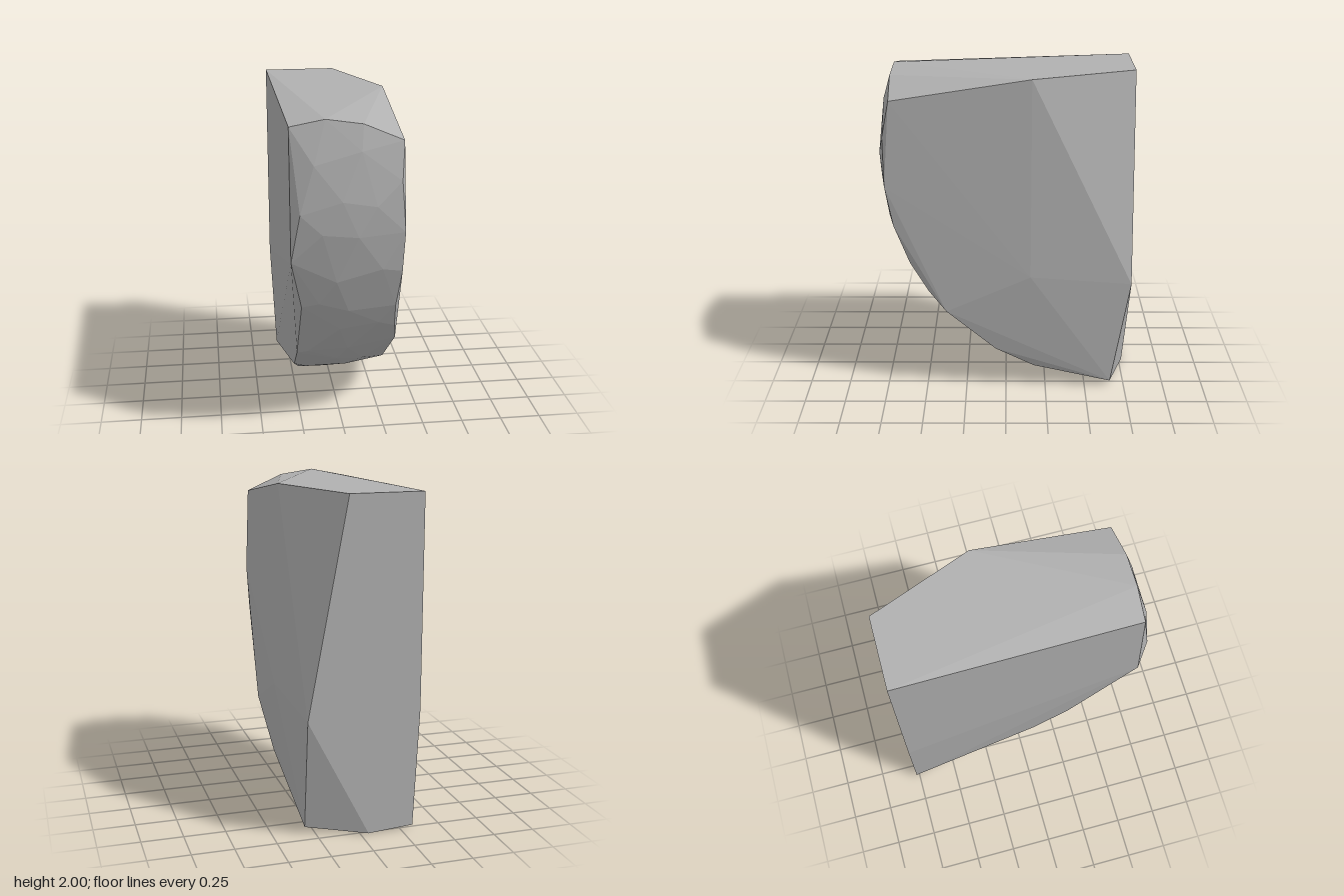
import * as THREE from 'three';
import { ConvexGeometry } from 'three/addons/geometries/ConvexGeometry.js';

// The stone is a chunk cut from a large ball: flat cut faces, curved front.
const CENTRE = new THREE.Vector3(-0.05, 1.49, -0.72);
const RADIUS = 1.495;

// Point on the curved front for a given x and y
function onBall(x, y) {
  const dx = x - CENTRE.x, dy = y - CENTRE.y;
  const z = CENTRE.z + Math.sqrt(Math.max(0, RADIUS * RADIUS - dx * dx - dy * dy));
  return new THREE.Vector3(x, y, z);
}

export function createModel() {
  const stone = new THREE.MeshStandardMaterial({ color: 0xb0b0b0 });

  // Corners of the flat cuts: back, sides and top
  const corners = [
    [-0.36, 2, -0.77], [0.08, 2, -0.77], [0.32, 2, -0.15],
    [-0.36, 0.74, -0.77], [0.32, 0.72, -0.77], [0.355, 0.78, -0.15],
    [-0.325, 0.02, -0.77], [-0.05, 0, -0.77], [0.31, 0.04, -0.66],
  ].map((p) => new THREE.Vector3(...p));

  // Rims where the curved front meets the top and sides
  const topRim = [[-0.33, 1.96], [-0.13, 2], [0.08, 1.97], [0.31, 1.87]];
  const leftRim = [[-0.28, 1.48], [-0.33, 1.19], [-0.265, 0.88], [-0.27, 0.45],
    [-0.27, 0.26], [-0.225, 0.13], [-0.235, 0.06]];
  const rightRim = [[0.295, 1.65], [0.32, 1.35], [0.315, 1.1], [0.295, 0.85],
    [0.31, 0.67], [0.335, 0.54], [0.31, 0.27], [0.29, 0.14]];

  // Staggered points that facet the curved front
  const front = [];
  const rows = 12;
  for (let i = 0; i < rows; i++) {
    const angle = 0.2 - 1.7 * (i / (rows - 1));
    const shift = i % 2 ? 0.08 : -0.06;
    for (const x of [-0.12, 0.1]) {
      const wobble = 0.03 * Math.sin(i * 2.3 + x * 20);
      const dx = x + shift + wobble - CENTRE.x;
      const r = Math.sqrt(RADIUS * RADIUS - dx * dx);
      const a = angle + wobble;
      front.push(new THREE.Vector3(CENTRE.x + dx,
        Math.max(0, CENTRE.y + r * Math.sin(a)), CENTRE.z + r * Math.cos(a)));
    }
  }

  const rims = [...topRim, ...leftRim, ...rightRim].map(([x, y]) => onBall(x, y));
  const mesh = new THREE.Mesh(new ConvexGeometry([...corners, ...rims, ...front]), stone);
  mesh.name = 'stoneChunk';

  const group = new THREE.Group();
  group.name = 'brokenStone';
  group.add(mesh);
  return group;
}
